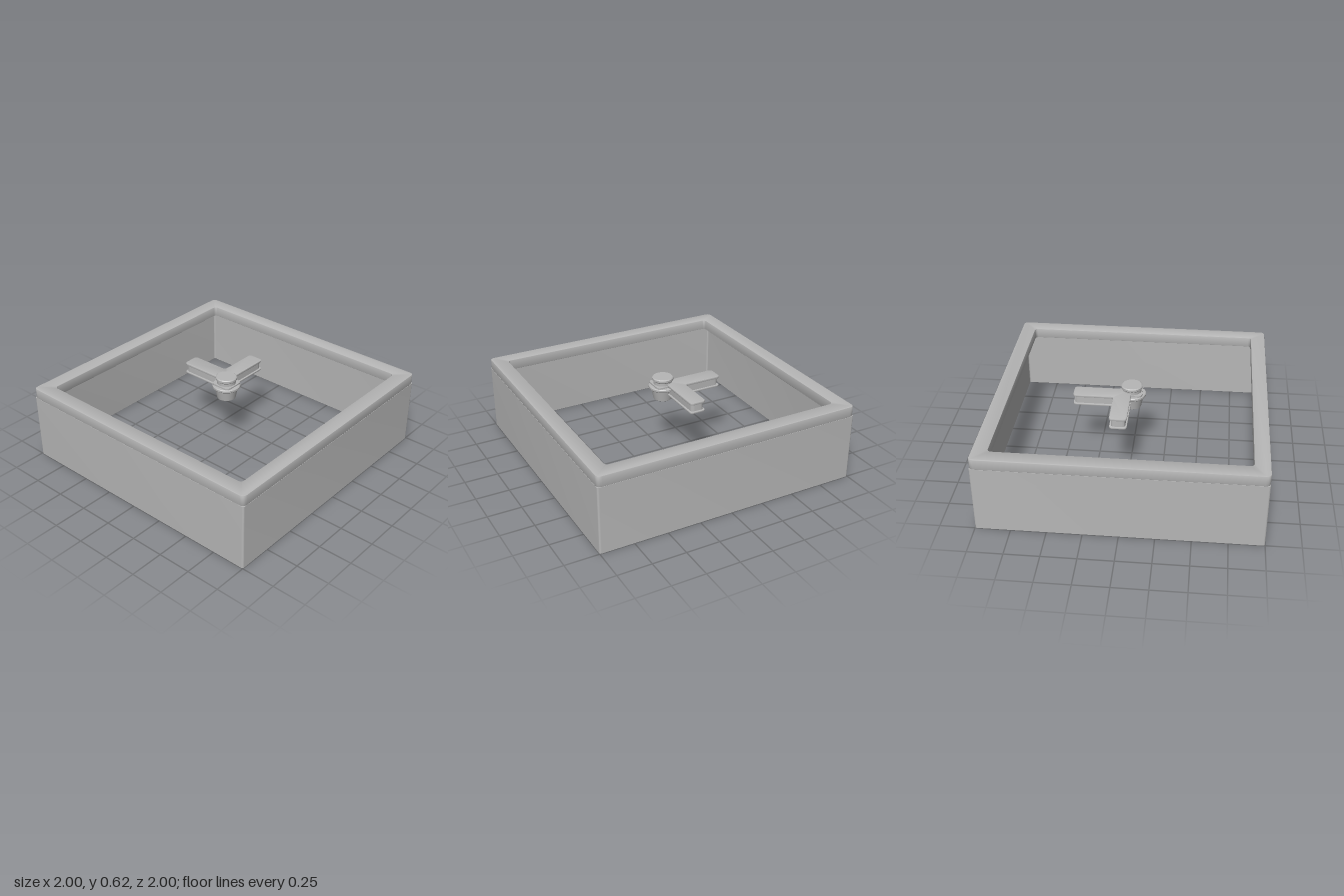
import * as THREE from 'three';
import { toCreasedNormals } from 'three/addons/utils/BufferGeometryUtils.js';

const grey = new THREE.MeshStandardMaterial({ color: 0xb6b6b6 });
grey.name = 'plain grey';

// Trace a polygon with rounded corners; the path type is Shape or Path.
function rounded(path, points, r) {
  const n = points.length;
  const P = points.map(([x, y]) => new THREE.Vector2(x, y));
  for (let i = 0; i < n; i++) {
    const c = P[i];
    const toward = (q) => c.clone().add(q.clone().sub(c).setLength(r));
    const a = toward(P[(i + n - 1) % n]);
    const b = toward(P[(i + 1) % n]);
    if (i === 0) path.moveTo(a.x, a.y);
    else path.lineTo(a.x, a.y);
    path.quadraticCurveTo(c.x, c.y, b.x, b.y);
  }
  path.closePath();
  return path;
}

const square = (h) => [[-h, -h], [h, -h], [h, h], [-h, h]];

// Extrude a plan shape upward from y0 to y1 (shape y becomes -z).
function slab(name, shape, y0, y1, bevel = 0) {
  let g = new THREE.ExtrudeGeometry(shape, {
    depth: y1 - y0 - 2 * bevel, curveSegments: 6,
    bevelEnabled: bevel > 0, bevelSize: bevel, bevelThickness: bevel,
    bevelOffset: -bevel, bevelSegments: 2,
  });
  g.rotateX(-Math.PI / 2);
  g.translate(0, y0 + bevel, 0);
  g = toCreasedNormals(g, 0.6);
  const mesh = new THREE.Mesh(g, grey);
  mesh.name = name;
  return mesh;
}

function ring(outer, rOuter, inner, rInner) {
  const s = rounded(new THREE.Shape(), square(outer), rOuter);
  s.holes.push(rounded(new THREE.Path(), square(inner), rInner));
  return s;
}

// L-shaped plan, shrunk on every side by d.
function bracketShape(d) {
  return rounded(new THREE.Shape(), [
    [-0.42 + d, d], [-d, d], [-d, 0.425 - d],
    [-0.122 + d, 0.425 - d], [-0.122 + d, 0.127 - d], [-0.42 + d, 0.127 - d],
  ], 0.025);
}

export function createModel() {
  const model = new THREE.Group();
  model.name = 'squareFrameWithKnob';

  // Square frame: a thin skirt under a broad rim
  const frame = new THREE.Group();
  frame.name = 'frame';
  frame.add(slab('skirt', ring(1, 0.015, 0.99, 0.012), 0, 0.5));
  frame.add(slab('rim', ring(1, 0.035, 0.89, 0.03), 0.5, 0.58, 0.004));
  model.add(frame);

  // L bracket: flanges above and below a recessed web
  const bracket = new THREE.Group();
  bracket.name = 'bracket';
  bracket.add(slab('bracketTop', bracketShape(0), 0.562, 0.58, 0.003));
  bracket.add(slab('bracketWeb', bracketShape(0.012), 0.505, 0.565));
  bracket.add(slab('bracketBase', bracketShape(0), 0.495, 0.508, 0.003));
  model.add(bracket);

  // Turned knob: tapered cup, wide flange, neck and cap
  const knob = new THREE.Group();
  knob.name = 'knob';
  const profile = [
    [0, 0.44], [0.062, 0.44], [0.07, 0.446], [0.086, 0.525], [0.1, 0.53],
    [0.105, 0.536], [0.105, 0.55], [0.1, 0.555], [0.07, 0.558], [0.07, 0.59],
    [0.079, 0.599], [0.079, 0.614], [0.072, 0.62], [0, 0.62],
  ].map(([x, y]) => new THREE.Vector2(x, y));
  const body = new THREE.Mesh(
    toCreasedNormals(new THREE.LatheGeometry(profile, 40), 0.5), grey);
  body.name = 'knobBody';
  knob.add(body);
  knob.add(slab('knobCollar',
    rounded(new THREE.Shape(), square(0.08), 0.035), 0.55, 0.568));
  model.add(knob);

  return model;
}
